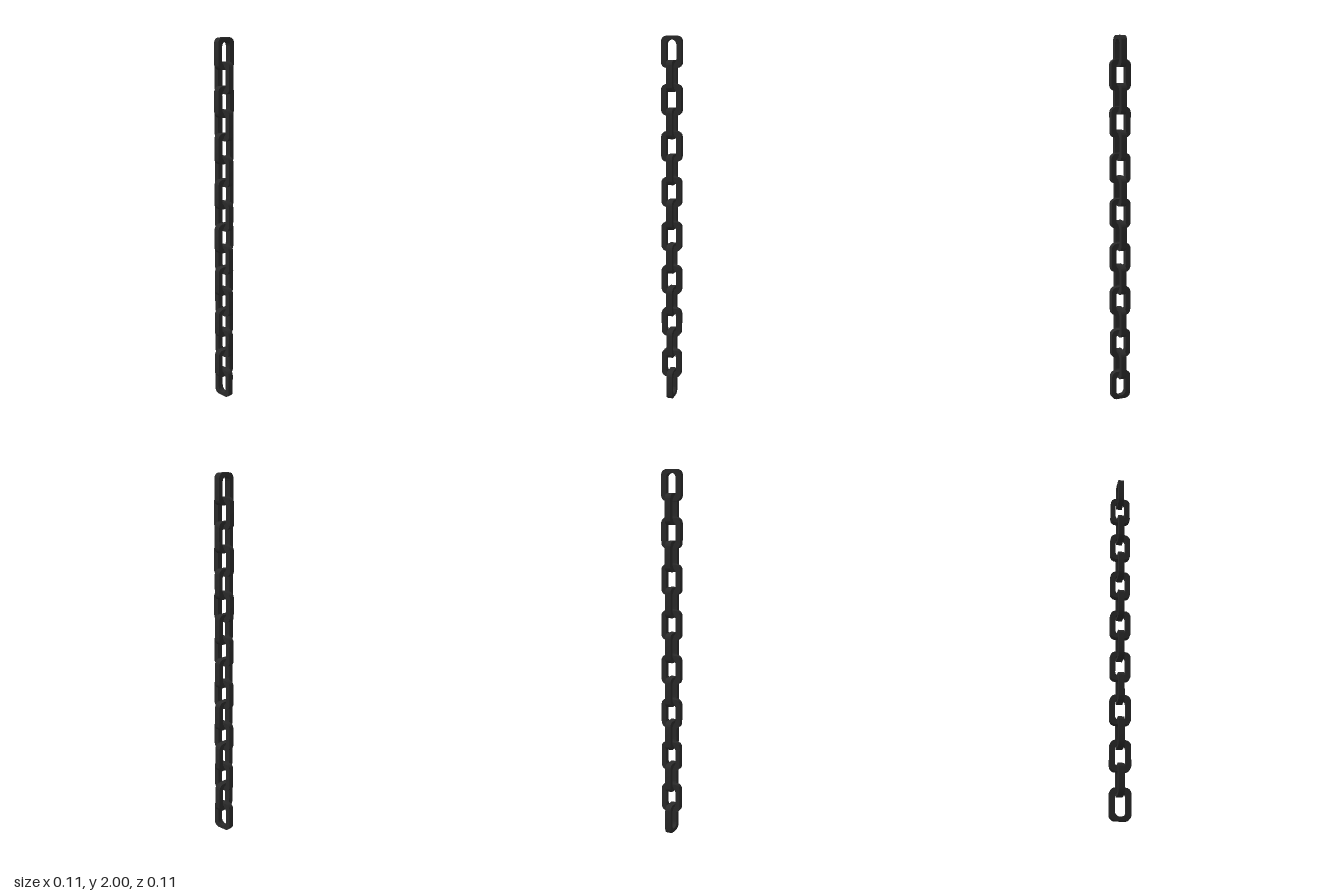
import * as THREE from 'three';
import { toCreasedNormals } from 'three/addons/utils/BufferGeometryUtils.js';

const LINKS = 16, PITCH = 0.1225, HEIGHT = 0.1625, WIDTH = 0.11, DEPTH = 0.032;

// Rounded rectangle centred on the origin
function roundedRect(path, w, h, r) {
  const x = w / 2 - r, y = h / 2 - r;
  path.absarc(x, y, r, 0, Math.PI / 2);
  path.absarc(-x, y, r, Math.PI / 2, Math.PI);
  path.absarc(-x, -y, r, Math.PI, Math.PI * 1.5);
  path.absarc(x, -y, r, Math.PI * 1.5, Math.PI * 2);
  path.closePath();
  return path;
}

// One flat-sided link with an oblong hole
function linkGeometry() {
  const shape = roundedRect(new THREE.Shape(), WIDTH, HEIGHT, 0.03);
  shape.holes.push(roundedRect(new THREE.Path(), 0.056, HEIGHT - 0.038, 0.026));
  const geometry = new THREE.ExtrudeGeometry(shape, { depth: DEPTH, bevelEnabled: false, curveSegments: 5 });
  geometry.translate(0, 0, -DEPTH / 2);
  return toCreasedNormals(geometry, 0.7);
}

export function createModel() {
  const chain = new THREE.Group();
  chain.name = 'chain';
  const geometry = linkGeometry();
  const material = new THREE.MeshStandardMaterial({ color: 0x2a2a2a });

  // Links stacked upward, every second one turned a quarter
  for (let i = 0; i < LINKS; i++) {
    const link = new THREE.Mesh(geometry, material);
    link.name = `link${i + 1}`;
    link.position.y = HEIGHT / 2 + i * PITCH;
    link.rotation.y = (i % 2) * Math.PI / 2;
    chain.add(link);
  }
  return chain;
}
